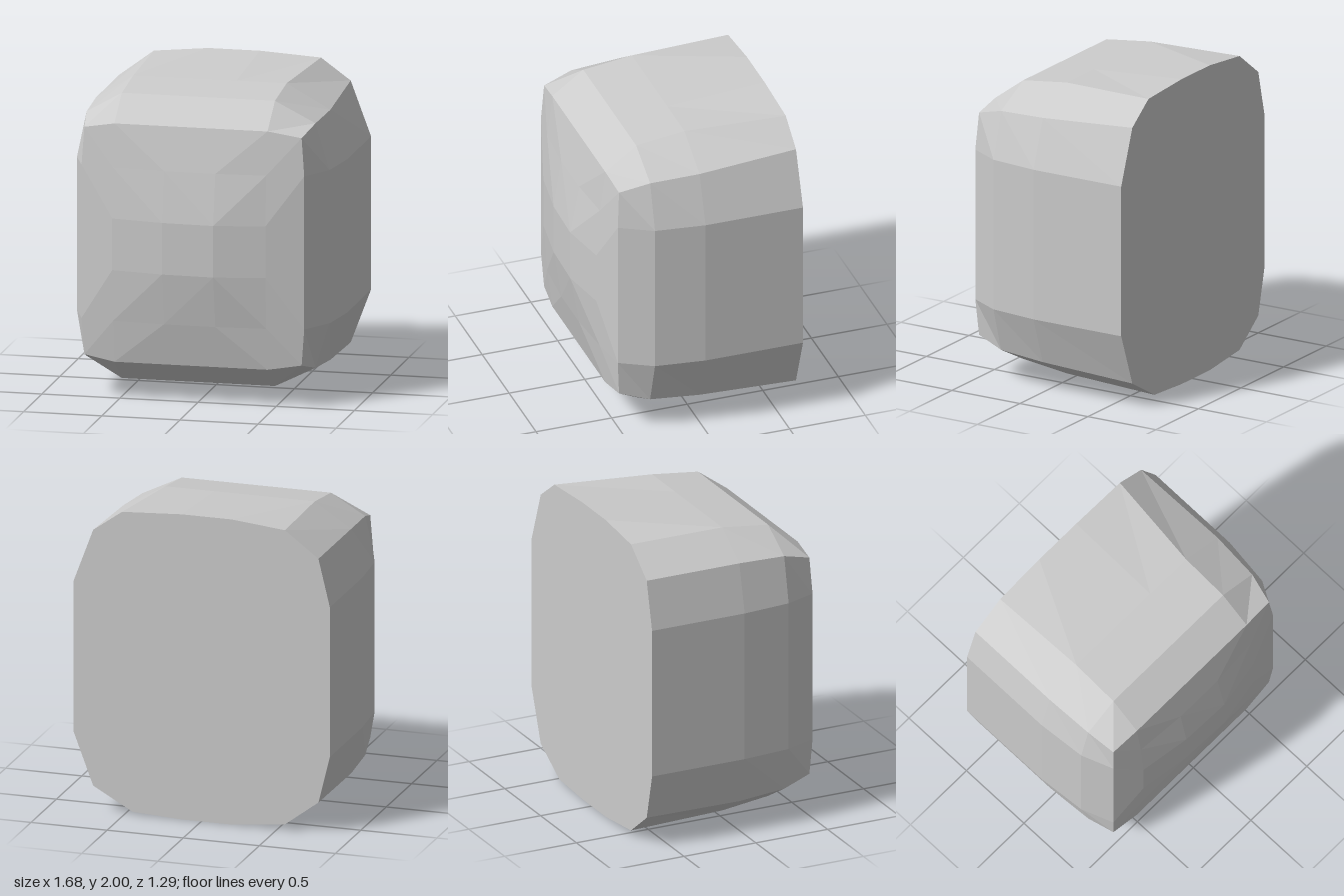
import * as THREE from 'three';

// One 20-point section: corner, four top points, corner, four right points, and so on, clockwise from the front
function makeRing({ z, cornerZ = z, left, right, top, bottom, corners, topX, bottomX }) {
  const rows = [1.49, 1.17, 0.84, 0.51];
  const corner = ([x, y]) => new THREE.Vector3(x, y, cornerZ);
  const at = (x, y) => new THREE.Vector3(x, y, z);
  const [tl, tr, br, bl] = corners;
  return [
    corner(tl), ...topX.map((x, i) => at(x, top[i])),
    corner(tr), ...rows.map((y) => at(right, y)),
    corner(br), ...bottomX.map((x, i) => at(x, bottom[i])).reverse(),
    corner(bl), ...rows.map((y) => at(left, y)).reverse(),
  ];
}

function flatGeometry(triangles) {
  const geometry = new THREE.BufferGeometry().setFromPoints(triangles);
  geometry.computeVertexNormals();
  return geometry;
}

export function createModel() {
  const group = new THREE.Group();
  group.name = 'roundedBlock';
  const material = new THREE.MeshStandardMaterial({ color: 0xcccccc, flatShading: true });
  const addPart = (name, triangles) => {
    const mesh = new THREE.Mesh(flatGeometry(triangles), material);
    mesh.name = name;
    group.add(mesh);
  };

  const columns = [-0.53, -0.2, 0.13, 0.45];
  const same = (y) => [y, y, y, y];
  const rings = [
    { z: 0.525, cornerZ: 0.51, left: -0.74, right: 0.685, top: same(1.765), bottom: same(0.24),
      corners: [[-0.725, 1.73], [0.665, 1.73], [0.665, 0.275], [-0.725, 0.275]], topX: columns, bottomX: columns },
    { z: 0.32, left: -0.817, right: 0.80, top: same(1.915), bottom: same(0.09),
      corners: [[-0.755, 1.785], [0.71, 1.785], [0.71, 0.22], [-0.755, 0.22]], topX: columns, bottomX: columns },
    { z: 0, left: -0.845, right: 0.84, top: same(1.955), bottom: same(0.05),
      corners: [[-0.77, 1.80], [0.73, 1.80], [0.73, 0.20], [-0.77, 0.20]], topX: columns, bottomX: columns },
    { z: -0.645, left: -0.845, right: 0.84, top: [1.965, 2, 2, 1.977], bottom: [0.04, 0.003, 0.003, 0.02],
      corners: [[-0.77, 1.80], [0.71, 1.84], [0.71, 0.165], [-0.77, 0.205]],
      topX: [-0.55, -0.2, 0.13, 0.52], bottomX: [-0.55, -0.2, 0.13, 0.45] },
  ].map(makeRing);

  // Sides: join neighbouring sections
  const sides = [];
  for (let k = 0; k < rings.length - 1; k++) {
    const a = rings[k], b = rings[k + 1];
    a.forEach((p, i) => {
      const j = (i + 1) % a.length;
      sides.push(p, a[j], b[j], p, b[j], b[i]);
    });
  }
  addPart('sideWalls', sides);

  // Domed front: a 6 x 6 grid whose border is the first section
  const f = rings[0];
  const rowsY = [1.49, 1.17, 0.84, 0.51];
  const dome = (r, c) => {
    const midRow = r === 2 || r === 3, midCol = c === 2 || c === 3;
    const z = midRow && midCol ? (c === 2 ? 0.634 : 0.643) : midRow || midCol ? 0.584 : 0.56;
    return new THREE.Vector3(columns[c - 1], rowsY[r - 1], z);
  };
  const point = (r, c) => {
    if (r === 0) return f[c];
    if (c === 5) return f[5 + r];
    if (r === 5) return f[15 - c];
    if (c === 0) return f[20 - r];
    return dome(r, c);
  };
  const front = [];
  for (let r = 0; r < 5; r++) {
    for (let c = 0; c < 5; c++) {
      const tl = point(r, c), tr = point(r, c + 1), bl = point(r + 1, c), br = point(r + 1, c + 1);
      // Diagonals run towards the middle of the dome
      if ((r < 2.5) === (c < 2.5)) front.push(tl, bl, br, tl, br, tr);
      else front.push(tl, bl, tr, tr, bl, br);
    }
  }
  addPart('domedFront', front);

  // Flat back
  const back = rings[rings.length - 1];
  const centre = new THREE.Vector3(0, 1, -0.645);
  addPart('flatBack', back.flatMap((p, i) => [centre, p, back[(i + 1) % back.length]]));

  return group;
}
